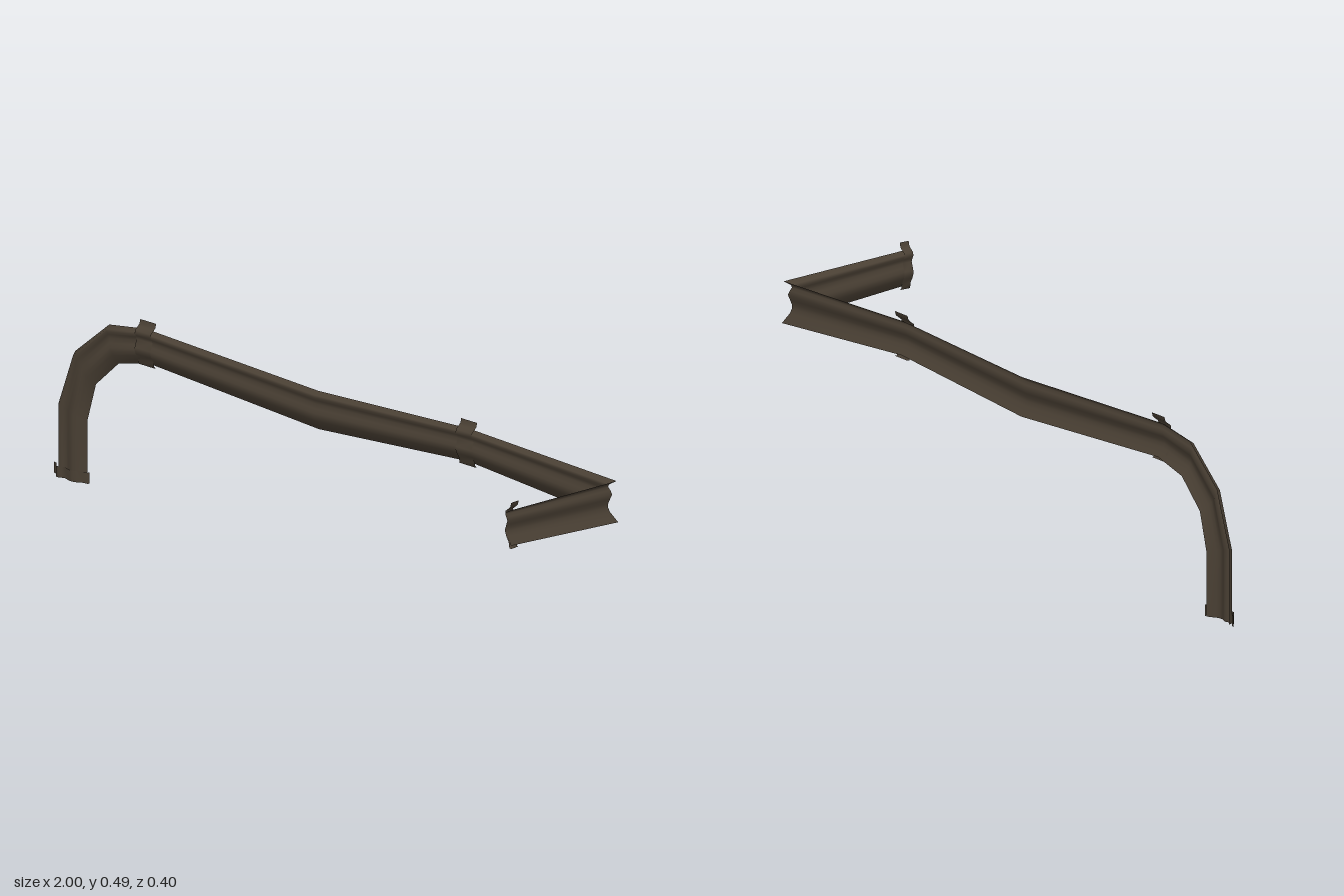
import * as THREE from 'three';

// Cross-sections: [position from lower edge (0) to upper edge (1), depth in front of the back plane]
const RAIL = [
  [0, 0], [0.1, 0.006], [0.25, 0.015], [0.36, 0.0185], [0.45, 0.0185], [0.56, 0.015],
  [0.68, 0.011], [0.78, 0.0145], [0.86, 0.0185], [0.92, 0.017], [1, 0.003],
];
const CLAMP = [
  [-0.07, 0], [-0.07, 0.006], [0.1, 0.009], [0.25, 0.0175], [0.36, 0.021], [0.45, 0.021],
  [0.68, 0.0135], [0.78, 0.017], [0.86, 0.021], [0.95, 0.02], [1.04, 0.009], [1.1, 0.003], [1.22, 0],
];

// Depth directions: straight run, corner mitre and return run
const FRONT = [0, 0, 1], MITRE = [-1, 0, 1], SIDE = [-1, 0, 0];

const station = (top, bottom, dir) => ({
  top: new THREE.Vector3(...top),
  bottom: new THREE.Vector3(...bottom),
  dir: new THREE.Vector3(...dir),
});
const frontStation = (tx, ty, bx, by) => station([tx, ty, -0.2], [bx, by, -0.2], FRONT);

// Sheet swept through stations that give its upper and lower edges
function sheet(name, stations, profile, material) {
  const pos = [], index = [], n = profile.length;
  for (const s of stations) {
    for (const [t, d] of profile) {
      const p = s.bottom.clone().lerp(s.top, t).addScaledVector(s.dir, d);
      pos.push(p.x, p.y, p.z);
    }
  }
  for (let i = 0; i < stations.length - 1; i++) {
    for (let j = 0; j < n - 1; j++) {
      const a = i * n + j, b = a + n;
      index.push(a, b, b + 1, a, b + 1, a + 1);
    }
  }
  const g = new THREE.BufferGeometry();
  g.setAttribute('position', new THREE.Float32BufferAttribute(pos, 3));
  g.setIndex(index);
  g.computeVertexNormals();
  const mesh = new THREE.Mesh(g, material);
  mesh.name = name;
  return mesh;
}

export function createModel() {
  const group = new THREE.Group();
  group.name = 'wallRail';
  const metal = new THREE.MeshStandardMaterial({ color: 0x4a4034, side: THREE.DoubleSide });
  metal.name = 'dark bronze';

  // Long rail: rises from the floor, bends over and runs to the corner
  const run = [
    frontStation(-0.975, 0, -0.88, 0),
    frontStation(-0.975, 0.2, -0.88, 0.17),
    frontStation(-0.92, 0.35, -0.85, 0.275),
    frontStation(-0.8, 0.45, -0.77, 0.35),
    frontStation(-0.67, 0.469, -0.665, 0.376),
    frontStation(-0.06, 0.445, -0.06, 0.34),
    frontStation(0.47, 0.469, 0.47, 0.378),
    station([1, 0.45, -0.2], [1, 0.338, -0.2], MITRE),
  ];
  group.add(sheet('longRail', run, RAIL, metal));

  // Return rail: from the corner forward
  const back = [
    station([1, 0.45, -0.2], [1, 0.338, -0.2], MITRE),
    station([1, 0.469, 0.2], [1, 0.374, 0.2], SIDE),
  ];
  group.add(sheet('returnRail', back, RAIL, metal));

  // Clamps over the joints
  for (const [name, x] of [['clampBend', -0.665], ['clampMiddle', 0.472]]) {
    const ends = [-0.028, 0.028].map((o) => frontStation(x + o, 0.469, x + o, 0.376));
    group.add(sheet(name, ends, CLAMP, metal));
  }
  const foot = [0, 0.03].map((y) => frontStation(-0.978, y, -0.88, y));
  group.add(sheet('clampFoot', foot, CLAMP, metal));
  const end = [0.172, 0.2].map((z) => station([1, 0.469, z], [1, 0.372, z], SIDE));
  group.add(sheet('clampEnd', end, CLAMP, metal));

  return group;
}
